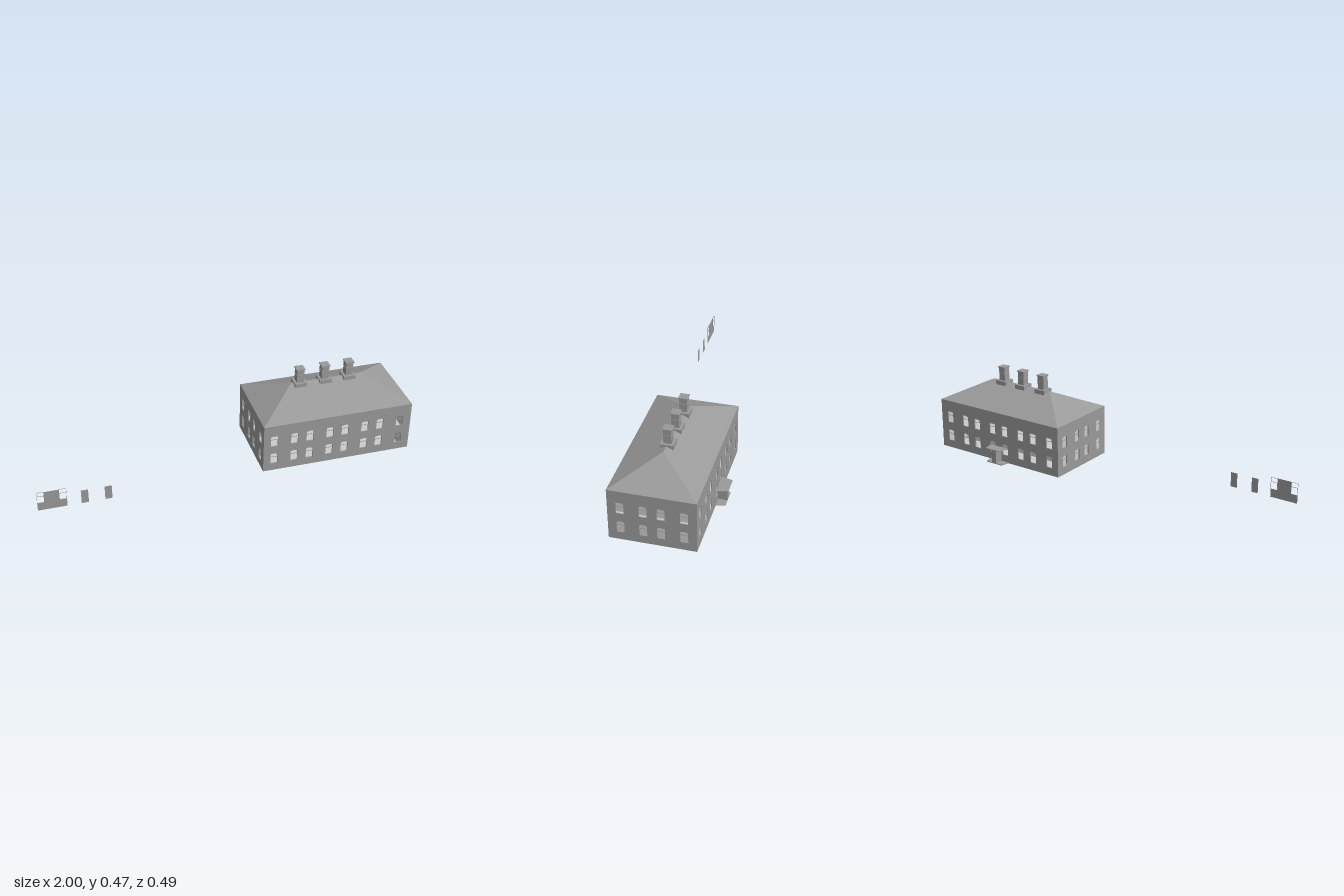
import * as THREE from 'three';

const makeMaterial = color => new THREE.MeshStandardMaterial({ color, flatShading: true, side: THREE.DoubleSide });
const stone = makeMaterial(0x9a9a9a), plaster = makeMaterial(0xcccccc);

// House extents
const X0 = 0.182, X1 = 1, Z0 = -0.185, Z1 = 0.243, EAVE = 0.279, RIDGE = 0.383;
const CX = (X0 + X1) / 2, CZ = (Z0 + Z1) / 2;
const WALL = 0.006, WIN_W = 0.038, ROWS = [0.044, 0.152];
// Central void, open below
const VOID = { x0: 0.21, x1: 0.96, z0: -0.03, z1: 0.1 };

function add(parent, name, geometry, material = stone, x = 0, y = 0, z = 0) {
  const mesh = new THREE.Mesh(geometry, material);
  mesh.name = name;
  mesh.position.set(x, y, z);
  parent.add(mesh);
  return mesh;
}

// Box given by its lower and upper corners
function block(parent, name, [ax, ay, az], [bx, by, bz], material = stone) {
  return add(parent, name, new THREE.BoxGeometry(bx - ax, by - ay, bz - az), material,
    (ax + bx) / 2, (ay + by) / 2, (az + bz) / 2);
}

function outline(points, Type = THREE.Shape) {
  return new Type(points.map(([x, y]) => new THREE.Vector2(x, y)));
}

const rectangle = (x0, y0, x1, y1, Type) => outline([[x0, y0], [x1, y0], [x1, y1], [x0, y1]], Type);

const extrude = (shape, depth) =>
  new THREE.ExtrudeGeometry(shape, { depth, bevelEnabled: false, curveSegments: 6 });

// Window opening with a shallow arched head
function archedOpening(x, y) {
  const h = WIN_W / 2, path = new THREE.Path();
  path.moveTo(x - h, y);
  path.lineTo(x + h, y);
  path.lineTo(x + h, y + 0.0585);
  path.quadraticCurveTo(x, y + 0.0675, x - h, y + 0.0585);
  path.closePath();
  return path;
}

// Wall in its own x/y plane, outer face at z = 0, with open windows
function makeWall(name, width, centres) {
  const wall = new THREE.Group();
  wall.name = name;
  const shape = rectangle(-width / 2, 0.001, width / 2, EAVE);
  for (const y of ROWS) for (const x of centres) {
    shape.holes.push(archedOpening(x, y));
    block(wall, 'meetingRail', [x - WIN_W / 2, y + 0.04, -0.005], [x + WIN_W / 2, y + 0.042, -0.002]);
  }
  add(wall, 'masonry', extrude(shape, WALL), stone, 0, 0, -WALL);
  return wall;
}

// Hipped roof from four eave corners and two ridge ends
function hippedRoof() {
  const a = [X0, EAVE, Z1], b = [X1, EAVE, Z1], c = [X1, EAVE, Z0], d = [X0, EAVE, Z0];
  const l = [0.395, RIDGE, CZ], r = [0.788, RIDGE, CZ];
  const faces = [a, b, r, a, r, l, b, c, r, c, d, l, c, l, r, d, a, l];
  const geometry = new THREE.BufferGeometry();
  geometry.setAttribute('position', new THREE.Float32BufferAttribute(faces.flat(), 3));
  geometry.computeVertexNormals();
  return geometry;
}

// Rooms around the central void, seen through the windows
function makeInterior() {
  const interior = new THREE.Group();
  interior.name = 'interior';
  const { x0, x1, z0, z1 } = VOID, t = 0.002, top = 0.235;
  for (const x of [x0 - t, x1])
    block(interior, 'endPartition', [x, 0.001, Z0 + WALL], [x + t, top, Z1 - WALL], plaster);
  for (const z of [z0 - t, z1])
    block(interior, 'longPartition', [x0, 0, z], [x1, top, z + t], plaster);
  for (const [name, y] of [['groundFloor', 0.003], ['upperFloor', 0.132], ['ceiling', top]]) {
    const ring = rectangle(X0 + WALL, Z0 + WALL, X1 - WALL, Z1 - WALL);
    ring.holes.push(rectangle(x0, z0, x1, z1, THREE.Path));
    add(interior, name, extrude(ring, t).rotateX(Math.PI / 2), plaster, 0, y, 0);
  }
  return interior;
}

function makeChimney(x) {
  const chimney = new THREE.Group();
  chimney.name = 'chimney';
  const tier = (name, half, y0, y1) => block(chimney, name, [-half, y0, -half], [half, y1, half]);
  tier('chimneyBase', 0.033, 0.365, 0.39);
  tier('chimneyShaft', 0.0195, 0.385, 0.463);
  tier('chimneyBand', 0.022, 0.434, 0.436);
  tier('chimneyCap', 0.0235, 0.463, 0.469);
  chimney.position.set(x, 0, CZ - 0.002);
  return chimney;
}

// Flat slab tapering away from the back wall
function taperedSlab(half, tip, depth, height) {
  return extrude(outline([[-half, 0], [half, 0], [tip, depth], [-tip, depth]]), height).rotateX(-Math.PI / 2);
}

function makePorch() {
  const porch = new THREE.Group();
  porch.name = 'porch';
  add(porch, 'porchStep', taperedSlab(0.063, 0.052, 0.046, 0.005));
  add(porch, 'porchBody', taperedSlab(0.014, 0.014, 0.046, 0.083));
  add(porch, 'porchRoof', taperedSlab(0.06, 0.045, 0.058, 0.004), stone, 0, 0.082, 0);
  porch.position.set(0.587, 0, Z0);
  return porch;
}

// Freestanding wall piece with two open window frames, and two door leaves
function makeLoosePanels() {
  const panels = new THREE.Group();
  panels.name = 'loosePanels';
  const s = 0.045, t = 0.11, w = 0.037, e = 0.001;
  add(panels, 'wallPiece', new THREE.ShapeGeometry(outline([[-1, 0], [-0.85, 0], [-0.85, s], [-0.887, s],
    [-0.887, t], [-0.963, t], [-0.963, s], [-1, s]])));
  for (const x of [-1, -0.887]) {
    const frame = rectangle(x, s, x + w, t);
    for (const [y0, y1] of [[s + e, 0.085], [0.086, t - e]])
      frame.holes.push(rectangle(x + e, y0, x + w - e, y1, THREE.Path));
    add(panels, 'openWindowFrame', extrude(frame, 0.003), stone, 0, 0, -0.003);
  }
  for (const x of [-0.76, -0.639])
    add(panels, 'doorLeaf', new THREE.PlaneGeometry(w, 0.08), stone, x, 0.04, 0);
  panels.position.z = Z1 - 0.001;
  return panels;
}

export function createModel() {
  const model = new THREE.Group();
  model.name = 'hippedRoofHouse';

  // Four walls
  const longCentres = [0.24, 0.35, 0.435, 0.545, 0.63, 0.74, 0.825, 0.937].map(x => x - CX);
  const endCentres = [0.182, 0.072, -0.014, -0.124].map(z => z - CZ);
  const mirrored = centres => centres.map(c => -c);
  for (const [name, width, centres, x, z, turn] of [
    ['frontWall', X1 - X0, longCentres, CX, Z1, 0],
    ['leftWall', Z1 - Z0, mirrored(endCentres), X1, CZ, 1],
    ['backWall', X1 - X0, mirrored(longCentres), CX, Z0, 2],
    ['rightWall', Z1 - Z0, endCentres, X0, CZ, 3],
  ]) {
    const wall = makeWall(name, width, centres);
    wall.position.set(x, 0, z);
    wall.rotation.y = turn * Math.PI / 2;
    model.add(wall);
  }

  // Roof and chimneys
  add(model, 'roof', hippedRoof());
  for (const x of [0.441, 0.579, 0.713]) model.add(makeChimney(x));

  model.add(makeInterior(), makePorch(), makeLoosePanels());
  return model;
}
